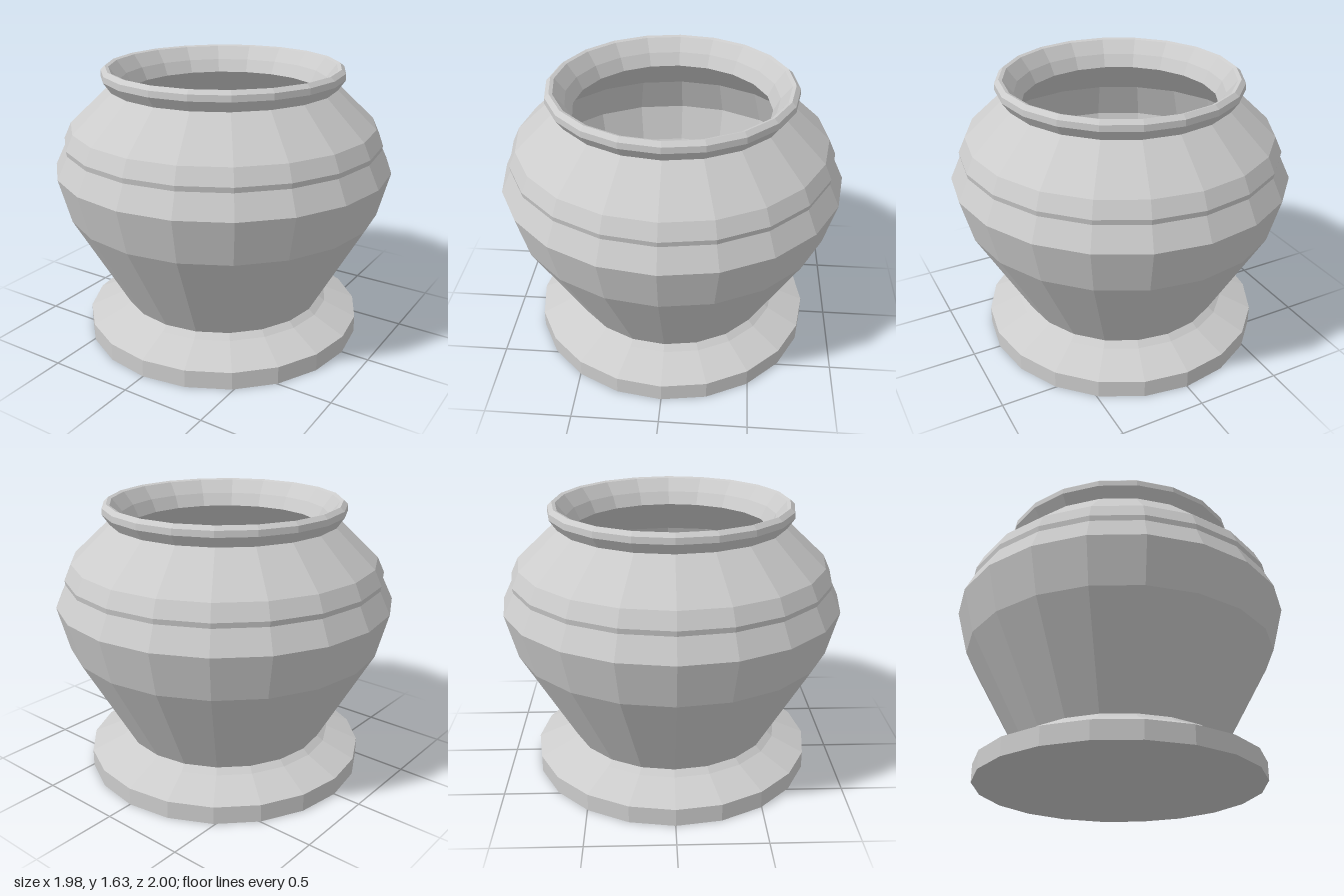
import * as THREE from 'three';

const SIDES = 20;

export function createModel() {
  const pot = new THREE.Group();
  pot.name = 'pot';
  const material = new THREE.MeshStandardMaterial({ color: 0xcccccc, flatShading: true });

  // Turned part from [radius, height] points; rising profiles face outward
  const turn = (name, profile) => {
    const points = profile.map(([r, y]) => new THREE.Vector2(r, y));
    const mesh = new THREE.Mesh(new THREE.LatheGeometry(points, SIDES), material);
    mesh.name = name;
    mesh.scale.x = 0.99;
    pot.add(mesh);
  };

  // Wide plinth with closed underside and sloping top
  turn('foot', [[0, 0], [0.843, 0], [0.843, 0.105], [0.65, 0.19], [0.613, 0.22]]);

  // Bulging belly
  turn('belly', [[0.613, 0.22], [0.932, 0.79], [1, 1.05]]);

  // Shoulder with a narrow stepped band
  turn('shoulder', [
    [1, 1.05], [0.937, 1.18], [0.942, 1.21], [0.9, 1.3], [0.67, 1.515],
  ]);

  // Flared lip, rolling over into the mouth
  turn('lip', [
    [0.67, 1.515], [0.712, 1.575], [0.71, 1.61], [0.685, 1.632],
    [0.665, 1.625], [0.605, 1.55], [0.568, 1.475],
  ]);

  // Hollow inside, following the outer shape down to a flat floor
  turn('interior', [
    [0.568, 1.475], [0.82, 1.25], [0.9, 1.03], [0.85, 0.8], [0.58, 0.27], [0, 0.27],
  ]);

  return pot;
}
